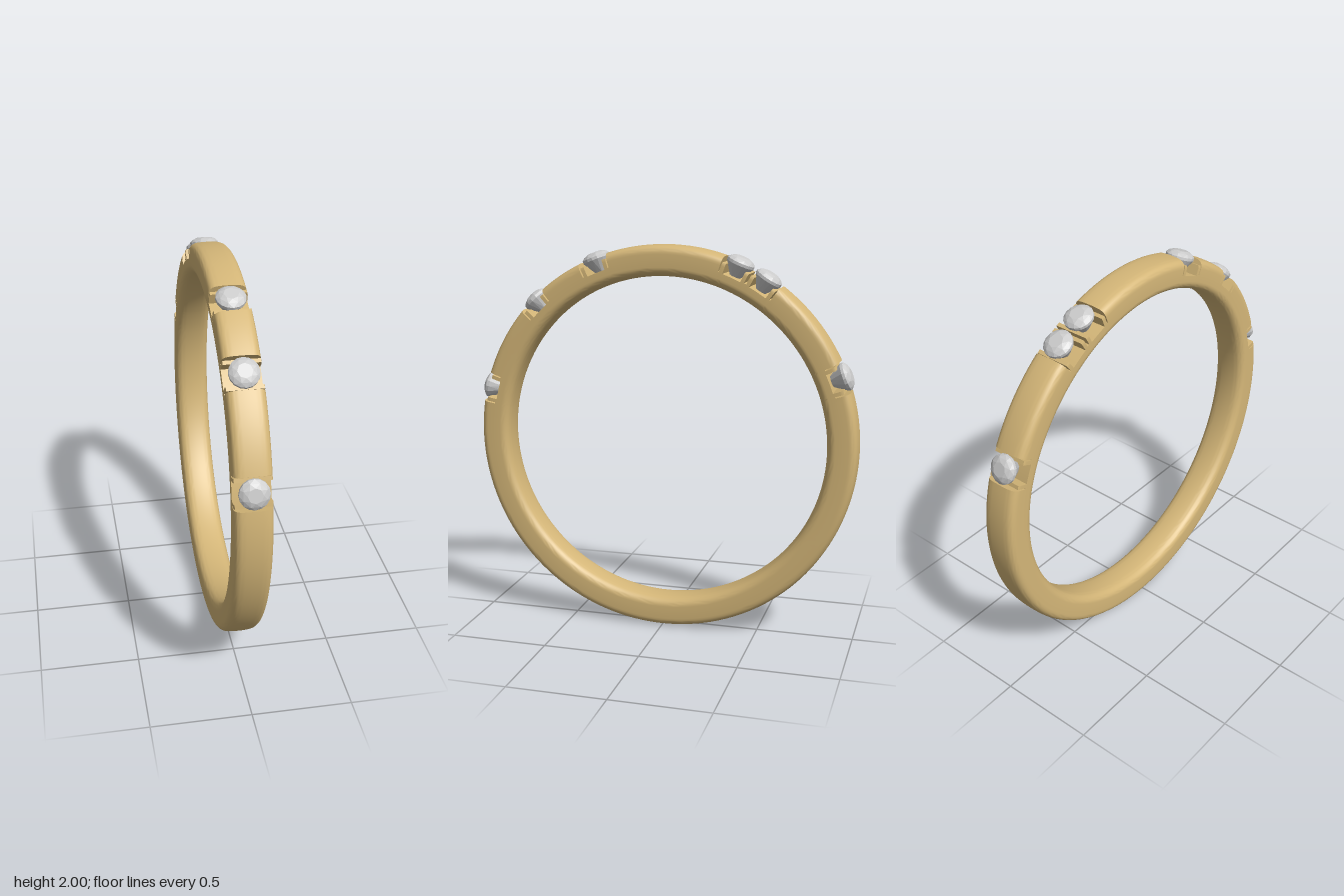
import * as THREE from 'three';
import { toCreasedNormals } from 'three/addons/utils/BufferGeometryUtils.js';
import { ConvexGeometry } from 'three/addons/geometries/ConvexGeometry.js';

// Stone positions around the band, in radians from +z towards +y
const STONES = [0.25, 0.793, 1.194, 1.97, 2.13, 2.758];

// Each seat: [angular half width, cut height] from the stone outwards
const SEAT = [[0.053, 0.92], [0.073, 0.972], [0.08, 0.925]];

function cutHeight(a) {
  let cap = 2;
  for (const s of STONES) {
    const step = SEAT.find(([half]) => Math.abs(a - s) < half);
    if (step) cap = Math.min(cap, step[1]);
  }
  return cap;
}

// Softly rounded section: x across the band, y as radius
function bandSection() {
  const s = new THREE.Shape();
  s.moveTo(-0.09, 0.955);
  s.bezierCurveTo(-0.09, 0.985, -0.07, 0.994, -0.05, 0.997);
  s.quadraticCurveTo(0, 1.002, 0.05, 0.997);
  s.bezierCurveTo(0.07, 0.994, 0.09, 0.985, 0.09, 0.955);
  s.lineTo(0.09, 0.89);
  s.bezierCurveTo(0.09, 0.865, 0.07, 0.85, 0.05, 0.846);
  s.quadraticCurveTo(0, 0.838, -0.05, 0.846);
  s.bezierCurveTo(-0.07, 0.85, -0.09, 0.865, -0.09, 0.89);
  s.closePath();
  const pts = s.getPoints(8);
  if (pts[0].distanceTo(pts[pts.length - 1]) < 1e-6) pts.pop();
  return pts;
}

// Sweep the section round the finger hole, trimming it at every stone seat
function bandGeometry() {
  const section = bandSection(), n = section.length;
  const angles = Array.from({ length: 161 }, (_, i) => (i / 160) * Math.PI * 2);
  for (const s of STONES) for (const [half] of SEAT) angles.push(s - half, s + half);
  angles.sort((a, b) => a - b);
  const rings = [];
  const addRing = (a, cap) => rings.push(section.map((p) => {
    const r = Math.min(p.y, cap);
    return new THREE.Vector3(p.x, 1 + r * Math.sin(a), r * Math.cos(a));
  }));
  for (let i = 0; i < angles.length - 1; i++) {
    const a = angles[i], b = angles[i + 1];
    if (b - a < 1e-5) continue;
    const cap = cutHeight((a + b) / 2);
    addRing(a, cap);
    addRing(b, cap);
  }
  const pos = [];
  const tri = (a, b, c) => {
    if (new THREE.Triangle(a, b, c).getArea() > 1e-9) {
      for (const v of [a, b, c]) pos.push(v.x, v.y, v.z);
    }
  };
  for (let k = 0; k < rings.length - 1; k++) {
    for (let i = 0; i < n; i++) {
      const j = (i + 1) % n;
      const a = rings[k][i], b = rings[k][j], c = rings[k + 1][j], d = rings[k + 1][i];
      tri(a, b, c);
      tri(a, c, d);
    }
  }
  const g = new THREE.BufferGeometry();
  g.setAttribute('position', new THREE.Float32BufferAttribute(pos, 3));
  return toCreasedNormals(g, 0.6);
}

// Round brilliant: table, crown, girdle and blunt pavilion
function stoneGeometry() {
  const pts = [];
  const ring = (count, radius, y, turn = 0) => {
    for (let i = 0; i < count; i++) {
      const a = ((i + turn) / count) * Math.PI * 2;
      pts.push(new THREE.Vector3(radius * Math.cos(a), y, radius * Math.sin(a)));
    }
  };
  ring(8, 0.036, 0.023);
  ring(8, 0.058, 0.014, 0.5);
  ring(16, 0.072, 0);
  ring(16, 0.072, -0.014);
  ring(8, 0.03, -0.08, 0.5);
  return new ConvexGeometry(pts);
}

export function createModel() {
  const model = new THREE.Group();
  model.name = 'ring';
  const gold = new THREE.MeshStandardMaterial({ color: 0xd4b678 });
  const grey = new THREE.MeshStandardMaterial({ color: 0xcccccc, flatShading: true });

  const band = new THREE.Mesh(bandGeometry(), gold);
  band.name = 'band';
  model.add(band);

  // Stones face outwards from the band
  const cut = stoneGeometry();
  STONES.forEach((a, i) => {
    const stone = new THREE.Mesh(cut, grey);
    stone.name = `stone${i + 1}`;
    stone.position.set(0, 1 + Math.sin(a), Math.cos(a));
    stone.rotation.x = Math.PI / 2 - a;
    model.add(stone);
  });
  return model;
}
